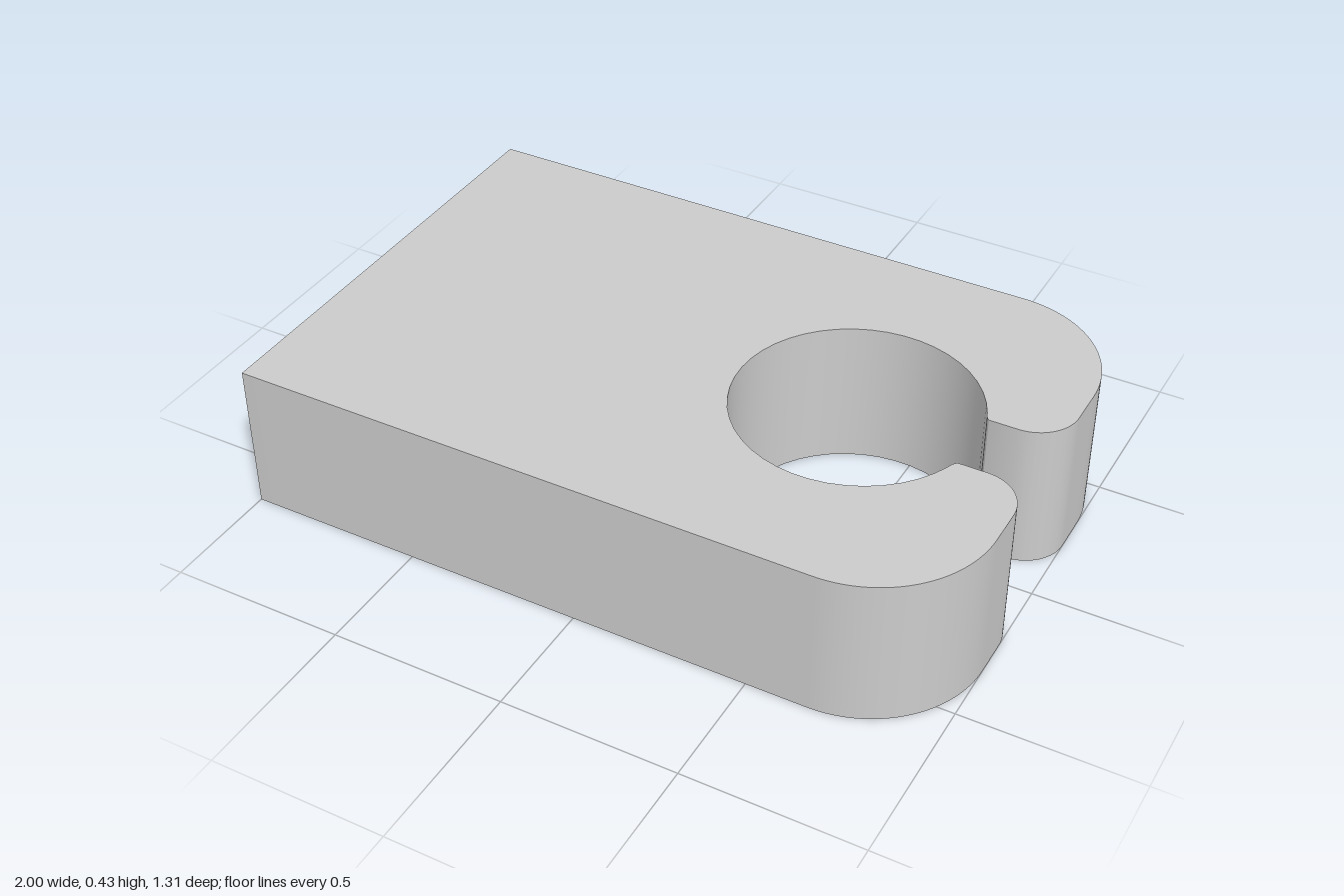
import * as THREE from 'three';
import { toCreasedNormals } from 'three/addons/utils/BufferGeometryUtils.js';

const H = 0.43, HALF = 0.655;                       // block height and half width
const FLOOR = 0.107, CEIL = 0.323;                  // pocket heights
const POCKET_HALF = 0.595, POCKET_END = -0.3;       // pocket half width and inner end
const RING = { x: 0.475, r: 0.335 };                // round clip opening
const GAP = 0.1, LIP = 0.125;                       // half width of the mouth, start of its inner edge

export function createModel() {
  const group = new THREE.Group();
  group.name = 'clipBlock';
  const material = new THREE.MeshStandardMaterial({ color: 0xcccccc });

  const add = (name, geometry) => {
    const mesh = new THREE.Mesh(geometry, material);
    mesh.name = name;
    group.add(mesh);
  };

  // Upright wall along a plan path, facing the right-hand side of travel
  const wall = (name, points, y0, y1) => {
    const n = points.length;
    const geometry = new THREE.PlaneGeometry(1, 1, n - 1, 1);
    const pos = geometry.attributes.position;
    for (let i = 0; i < pos.count; i++) {
      const p = points[i % n];
      pos.setXYZ(i, p.x, i < n ? y1 : y0, -p.y);
    }
    add(name, toCreasedNormals(geometry, 0.6));
  };

  // Flat horizontal face at height y
  const slab = (name, points, y, up, hole) => {
    const shape = new THREE.Shape(points);
    if (hole) shape.holes.push(new THREE.Path(hole));
    const geometry = new THREE.ShapeGeometry(shape);
    geometry.rotateX(up ? -Math.PI / 2 : Math.PI / 2);
    geometry.translate(0, y, 0);
    add(name, geometry);
  };

  const rect = (x0, x1, h) => [[x0, h], [x1, h], [x1, -h], [x0, -h]]
    .map(([x, y]) => new THREE.Vector2(x, y));

  // Plan outline: rounded arms around the ring opening, with a narrow mouth
  const a = Math.asin(LIP / RING.r);
  const ringX = RING.x + RING.r * Math.cos(a);
  const plan = new THREE.Path();
  plan.moveTo(-1, -HALF);
  plan.lineTo(0.67, -HALF);
  plan.absarc(0.67, -HALF + 0.33, 0.33, -Math.PI / 2, 0, false);
  plan.lineTo(1, -GAP - 0.12);
  plan.absarc(0.88, -GAP - 0.12, 0.12, 0, Math.PI / 2, false);
  plan.lineTo(0.805, -GAP);
  plan.quadraticCurveTo(0.793, -GAP, ringX, -LIP);
  plan.absarc(RING.x, 0, RING.r, -a, a, true);
  plan.quadraticCurveTo(0.793, GAP, 0.805, GAP);
  plan.lineTo(0.88, GAP);
  plan.absarc(0.88, GAP + 0.12, 0.12, -Math.PI / 2, 0, false);
  plan.lineTo(1, HALF - 0.33);
  plan.absarc(0.67, HALF - 0.33, 0.33, 0, Math.PI / 2, false);
  plan.lineTo(-1, HALF);
  const outline = plan.getPoints(20);

  // Screw hole through the bottom into the pocket
  const screw = new THREE.Path().absarc(-0.675, 0, 0.115, 0, Math.PI * 2, true).getPoints(16);

  wall('outerWall', outline, 0, H);
  slab('topFace', outline, H, true);
  // The outline is symmetric, so the turned-over face matches it
  slab('bottomFace', outline, 0, false, screw);
  wall('screwHole', screw, 0, FLOOR);

  // Pocket open at the -x end
  const pocket = rect(-1, POCKET_END, POCKET_HALF);
  wall('pocketWall', pocket, FLOOR, CEIL);
  slab('pocketFloor', pocket, FLOOR, true, screw);
  slab('pocketCeiling', pocket, CEIL, false);

  // End face framing the pocket mouth
  const frame = new THREE.Shape([[-HALF, 0], [HALF, 0], [HALF, H], [-HALF, H]]
    .map(([x, y]) => new THREE.Vector2(x, y)));
  frame.holes.push(new THREE.Path([[-POCKET_HALF, FLOOR], [-POCKET_HALF, CEIL], [POCKET_HALF, CEIL], [POCKET_HALF, FLOOR]]
    .map(([x, y]) => new THREE.Vector2(x, y))));
  add('endFace', new THREE.ShapeGeometry(frame).rotateY(-Math.PI / 2).translate(-1, 0, 0));

  return group;
}
